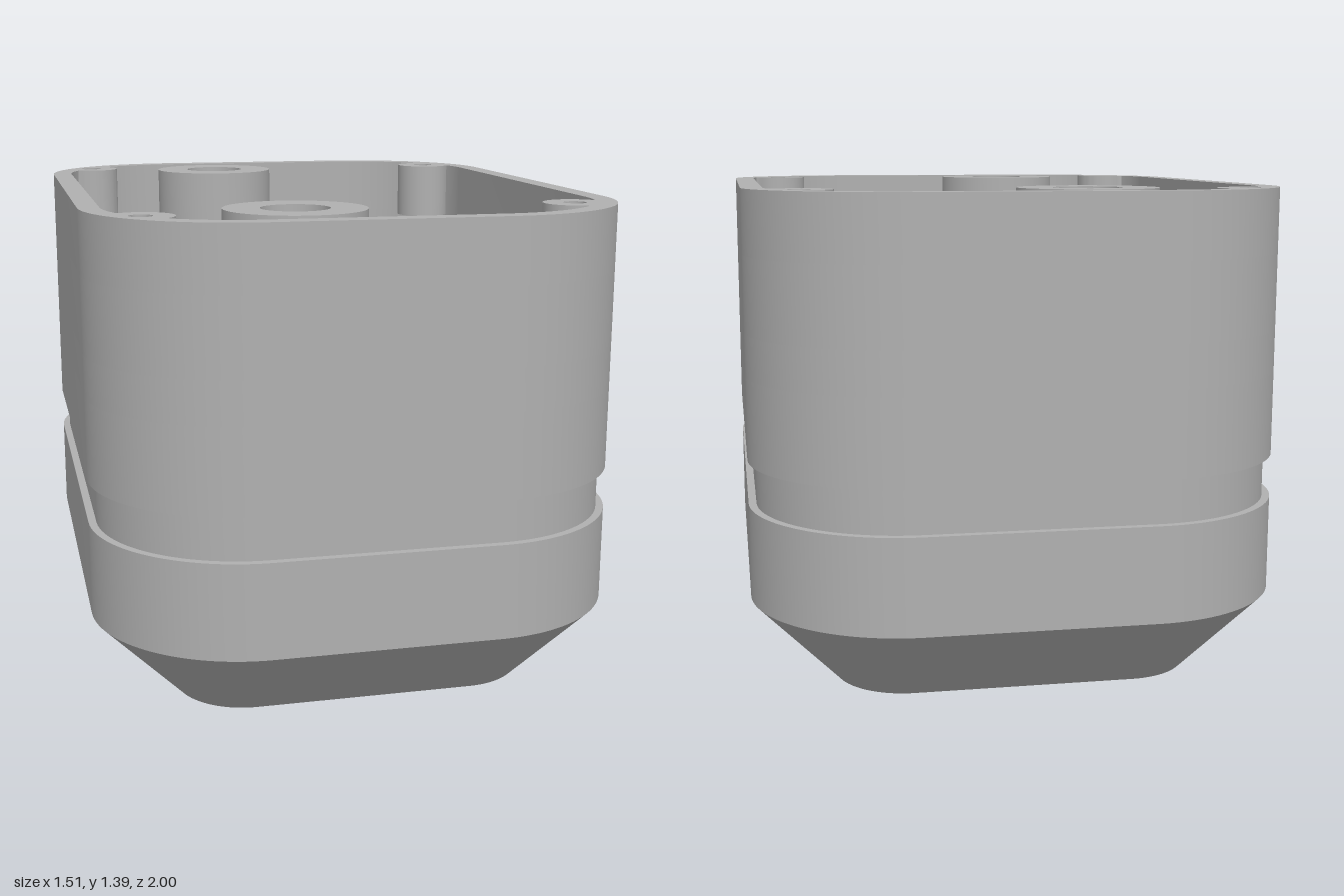
import * as THREE from 'three';
import { toCreasedNormals } from 'three/addons/utils/BufferGeometryUtils.js';

const HX = 0.755, HZ = 1, R = 0.44;      // outer outline
const WALL = 0.06;                       // wall thickness
const TOP = 1.395, FLOOR = 1.0, POST_Y = 1.215;
const POST_R = 0.09;

// Screw posts and floor holes as [x, z]
const POSTS = [[-0.61, -0.79], [-0.61, 0.785], [0.602, -0.715], [0.602, 0.71]];
const BOSSES = [[-0.185, -0.68], [-0.185, 0.68]];
const PINS = [[-0.42, -0.235], [0.05, -0.235], [-0.42, 0.235], [0.05, 0.235]];

// Rounded rectangle, inset from the outer outline
function outline(inset, n = 40) {
  const cx = HX - R, cy = HZ - R, r = R - inset, pts = [];
  [[1, 1], [-1, 1], [-1, -1], [1, -1]].forEach(([sx, sy], k) => {
    for (let i = 0; i <= n; i++) {
      const a = (k + i / n) * Math.PI / 2;
      pts.push(new THREE.Vector2(sx * cx + r * Math.cos(a), sy * cy + r * Math.sin(a)));
    }
  });
  return pts;
}

// Inner outline with every screw post bulging into the cavity
function outlineWithPosts() {
  const pts = outline(WALL, 60), out = [];
  const centres = POSTS.map(([x, z]) => new THREE.Vector2(x, -z));
  let inside = null;
  for (const p of pts) {
    const hit = centres.find((c) => c.distanceTo(p) < POST_R);
    if (hit) { inside = hit; continue; }
    if (inside) {
      const last = out[out.length - 1];
      const a0 = Math.atan2(last.y - inside.y, last.x - inside.x);
      let a1 = Math.atan2(p.y - inside.y, p.x - inside.x);
      while (a1 > a0) a1 -= Math.PI * 2;
      for (let i = 1; i < 32; i++) {
        const a = a0 + (a1 - a0) * i / 32;
        out.push(new THREE.Vector2(inside.x + POST_R * Math.cos(a), inside.y + POST_R * Math.sin(a)));
      }
      inside = null;
    }
    out.push(p);
  }
  return out;
}

function circle([x, z], r, n = 40) {
  return Array.from({ length: n }, (_, i) => {
    const a = i / n * Math.PI * 2;
    return new THREE.Vector2(x + r * Math.cos(a), -z + r * Math.sin(a));
  });
}

// Upright slab between two heights
function slab(points, holes, y0, y1) {
  const shape = new THREE.Shape(points);
  shape.holes = holes.map((h) => new THREE.Path(h));
  const g = new THREE.ExtrudeGeometry(shape, { depth: y1 - y0, bevelEnabled: false });
  return g.rotateX(-Math.PI / 2).translate(0, y0, 0);
}

export function createModel() {
  const model = new THREE.Group();
  model.name = 'enclosure';
  const grey = new THREE.MeshStandardMaterial({ color: 0xb0b0b0 });
  grey.name = 'grey';
  const add = (name, geometry) => {
    const mesh = new THREE.Mesh(toCreasedNormals(geometry, 0.6), grey);
    mesh.name = name;
    model.add(mesh);
  };

  // Tapered base: pull the lower outline towards the corner centres
  const base = slab(outline(0), [], 0, 0.245);
  const p = base.attributes.position;
  const cx = HX - R, cz = HZ - R, k = 0.2 / R;
  for (let i = 0; i < p.count; i++) {
    if (p.getY(i) > 0.1) continue;
    const x = THREE.MathUtils.clamp(p.getX(i), -cx, cx);
    const z = THREE.MathUtils.clamp(p.getZ(i), -cz, cz);
    p.setX(i, x + (p.getX(i) - x) * k);
    p.setZ(i, z + (p.getZ(i) - z) * k);
  }
  base.computeVertexNormals();
  add('taperedBase', base);

  // Solid lower body with a groove around it
  add('lowerBand', slab(outline(0), [], 0.245, 0.515));
  add('groove', slab(outline(0.022), [], 0.515, 0.64));
  add('core', slab(outline(0), [], 0.64, 0.88));

  // Cavity floor with its round recess and pin holes
  add('floor', slab(outline(0),
    [circle([-0.185, 0], 0.174, 64), ...PINS.map((c) => circle(c, 0.028, 24))], 0.88, FLOOR));

  // Walls, with the screw posts joined to the upper part
  add('wall', slab(outline(0), [outline(WALL)], FLOOR, POST_Y));
  add('rimWithPosts', slab(outline(0),
    [outlineWithPosts(), ...POSTS.map((c) => circle(c, 0.032, 24))], POST_Y, TOP));
  POSTS.forEach(([x, z]) => add('screwHoleBottom',
    new THREE.CircleGeometry(0.034, 24).rotateX(-Math.PI / 2).translate(x, POST_Y + 0.002, z)));

  // Hollow bosses standing on the floor
  BOSSES.forEach((c) => add('boss',
    slab(circle(c, 0.197, 64), [circle(c, 0.095, 48)], FLOOR, TOP)));

  return model;
}
